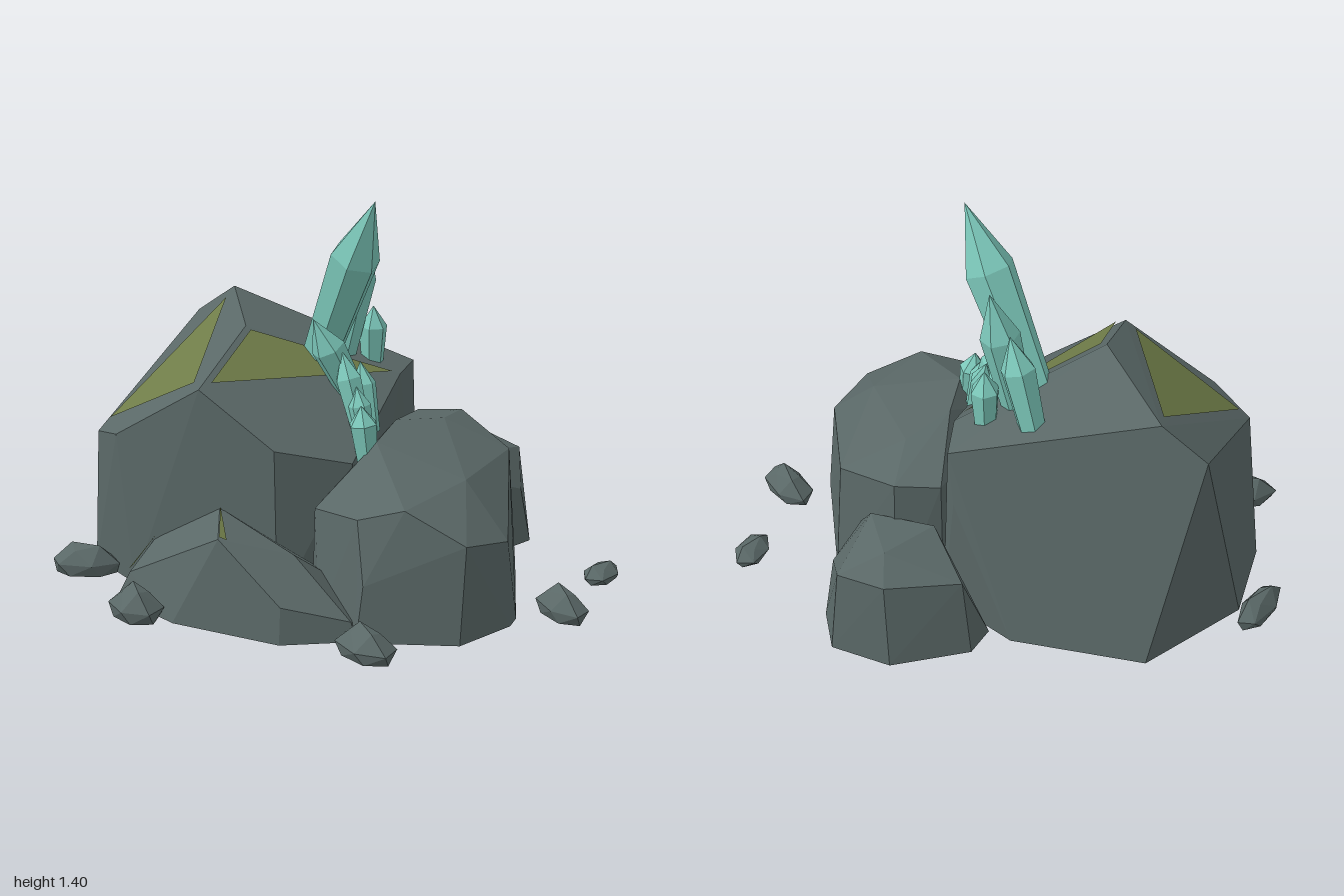
import * as THREE from 'three';
import { ConvexGeometry } from 'three/addons/geometries/ConvexGeometry.js';

const mat = (name, color) => Object.assign(new THREE.MeshStandardMaterial({ color }), { name });
const V = (p) => new THREE.Vector3(...p);

export function createModel() {
  const model = new THREE.Group();
  const stone = mat('stone', 0x5a6867);
  const moss = mat('moss', 0x6f7c48);
  const crystalGreen = mat('crystal', 0x7cc8ba);
  moss.side = THREE.DoubleSide;

  const add = (name, geometry, material) => {
    const mesh = new THREE.Mesh(geometry, material);
    mesh.name = name;
    model.add(mesh);
    return mesh;
  };

  // Faceted boulder: hull of its corner points
  const rock = (name, points) => add(name, new ConvexGeometry(points.map(V)), stone);

  rock('mainBoulder', [
    [-0.55, 0.915, -0.48], [-0.71, 0.8, -0.52], [-0.34, 0.9, -0.02], [-0.39, 0.76, 0.33],
    [-0.86, 0.5, 0.13], [-0.73, 0.545, 0.27], [-0.11, 0.57, 0.35], [0.125, 0.5, 0.2],
    [0.17, 0.7, -0.25], [0.17, 0.7, -0.43], [0.15, 0.5, -0.46],
    [-0.92, 0, -0.03], [-0.86, 0, -0.35], [-0.54, 0, -0.655], [-0.06, 0, -0.59], [0.02, 0, -0.53],
    [0.2, 0, -0.4], [0.16, 0, 0.13], [-0.1, 0, 0.36], [-0.66, 0, 0.31], [-0.88, 0, 0.14],
  ]);
  rock('rightBoulder', [
    [0.21, 0.59, -0.05], [0.2, 0.575, 0.16], [0.35, 0.565, -0.2], [0.36, 0.53, -0.42], [0.2, 0.52, -0.4],
    [0.53, 0.485, 0.2], [0.39, 0.455, 0.475], [0.23, 0.41, 0.49], [0.02, 0.36, 0.3],
    [0.58, 0.455, -0.25], [0.6, 0.345, 0.46], [0.7, 0.31, 0.28],
    [0.61, 0, -0.27], [0.72, 0, 0.21], [0.715, 0, 0.28], [0.59, 0, 0.49], [0.25, 0, 0.57],
    [0.27, 0.2, 0.555], [0.07, 0, 0.41], [0.01, 0, 0.3], [0.2, 0, -0.4], [0.37, 0, -0.44],
  ]);
  rock('frontBoulder', [
    [-0.32, 0.335, 0.33], [-0.23, 0.325, 0.59], [0, 0.25, 0.47], [-0.57, 0.19, 0.3], [-0.62, 0.1, 0.44],
    [0.01, 0.13, 0.65], [0.23, 0.07, 0.56], [-0.67, 0, 0.44], [-0.65, 0, 0.25], [-0.4, 0, 0.6],
    [0.01, 0, 0.665], [0.25, 0, 0.56], [0.2, 0, 0.2],
  ]);
  rock('backBoulder', [
    [0.22, 0.39, -0.45], [0.45, 0.385, -0.4], [0.37, 0.4, -0.62], [0.36, 0.325, -0.72], [0.53, 0.32, -0.66],
    [0.1, 0.3, -0.64], [0.5, 0.285, -0.33], [0.58, 0.22, -0.475],
    [0.02, 0, -0.55], [0.07, 0, -0.66], [0.345, 0, -0.755], [0.56, 0, -0.685], [0.61, 0, -0.52],
    [0.5, 0, -0.33], [0.2, 0, -0.35],
  ]);

  // Moss: triangles lifted just off the stone
  const mossPatch = (name, points) => {
    const [a, b, c] = points.map(V);
    const n = b.clone().sub(a).cross(c.clone().sub(a)).normalize();
    if (n.y < 0) n.negate();
    const g = new THREE.BufferGeometry().setFromPoints([a, b, c].map((p) => p.addScaledVector(n, 0.007)));
    g.computeVertexNormals();
    if (g.attributes.normal.getY(0) < 0) {
      g.setIndex([0, 2, 1]);
      g.computeVertexNormals();
    }
    add(name, g, moss);
  };
  mossPatch('leftMoss', [[-0.55, 0.885, -0.4], [-0.815, 0.545, 0.11], [-0.425, 0.76, 0.27]]);
  mossPatch('topMoss', [[-0.32, 0.885, -0.01], [-0.36, 0.772, 0.29], [0.145, 0.71, -0.225]]);
  mossPatch('frontMoss', [[-0.32, 0.335, 0.33], [-0.23, 0.325, 0.585], [-0.205, 0.315, 0.58]]);
  mossPatch('frontMossStrip', [[-0.565, 0.195, 0.3], [-0.62, 0.105, 0.435], [-0.6, 0.125, 0.44]]);

  // Pebbles: centre x, z, half length, half width, height, turn about y
  const pebbles = [
    [-0.93, -0.36, 0.13, 0.055, 0.1, 1.05], [-0.865, 0.265, 0.13, 0.065, 0.11, 0.25],
    [-0.54, 0.58, 0.115, 0.085, 0.11, -0.55], [0.31, 0.655, 0.13, 0.08, 0.1, -0.55],
    [0.865, 0.135, 0.125, 0.07, 0.1, -0.75], [0.935, -0.23, 0.095, 0.06, 0.06, 1.3],
  ];
  pebbles.forEach(([x, z, a, b, h, turn]) => {
    const points = [];
    [[0, 0.85, 0], [0.4, 1, 0.3], [1, 0.5, 0.6]].forEach(([y, r, twist], ring) => {
      const sides = ring === 2 ? 4 : 6;
      for (let i = 0; i < sides; i++) {
        const t = (i / sides) * Math.PI * 2 + twist;
        const lift = ring === 2 ? -0.18 * (i % 2) : 0;
        points.push([a * r * Math.cos(t), h * (y + lift), b * r * Math.sin(t)]);
      }
    });
    const mesh = rock('pebble', points);
    mesh.position.set(x, 0, z);
    mesh.rotation.y = turn;
  });

  // Crystals: six-sided shafts that widen to a shoulder and end in a point
  const crystals = [
    [[-0.12, 0.72, -0.15], [0.16, 1.4, 0.055], 0.09],
    [[-0.06, 0.7, -0.215], [0.045, 1.23, -0.235], 0.07],
    [[-0.12, 0.74, -0.36], [-0.03, 1.11, -0.3], 0.062],
    [[0.055, 0.7, -0.28], [0.06, 0.94, -0.275], 0.052],
    [[0.07, 0.62, -0.07], [-0.065, 0.965, 0.05], 0.062],
    [[0.12, 0.55, 0.055], [0.03, 0.85, 0.02], 0.05],
    [[0.13, 0.55, -0.01], [0.08, 0.8, -0.04], 0.045],
    [[0.14, 0.53, 0.08], [0.1, 0.74, 0.07], 0.04],
    [[0.165, 0.49, 0.15], [0.142, 0.7, 0.155], 0.052],
  ];
  crystals.forEach(([from, to, r], i) => {
    const axis = V(to).sub(V(from));
    const len = axis.length();
    const profile = [[0, 0], [r * 0.75, 0], [r, len * 0.68], [0, len]];
    let g = new THREE.LatheGeometry(profile.map(([x, y]) => new THREE.Vector2(x, y)), 6);
    g = g.toNonIndexed();
    g.computeVertexNormals();
    g.rotateY(i * 0.7);
    const mesh = add('crystal', g, crystalGreen);
    mesh.position.copy(V(from));
    mesh.quaternion.setFromUnitVectors(new THREE.Vector3(0, 1, 0), axis.normalize());
  });

  return model;
}
